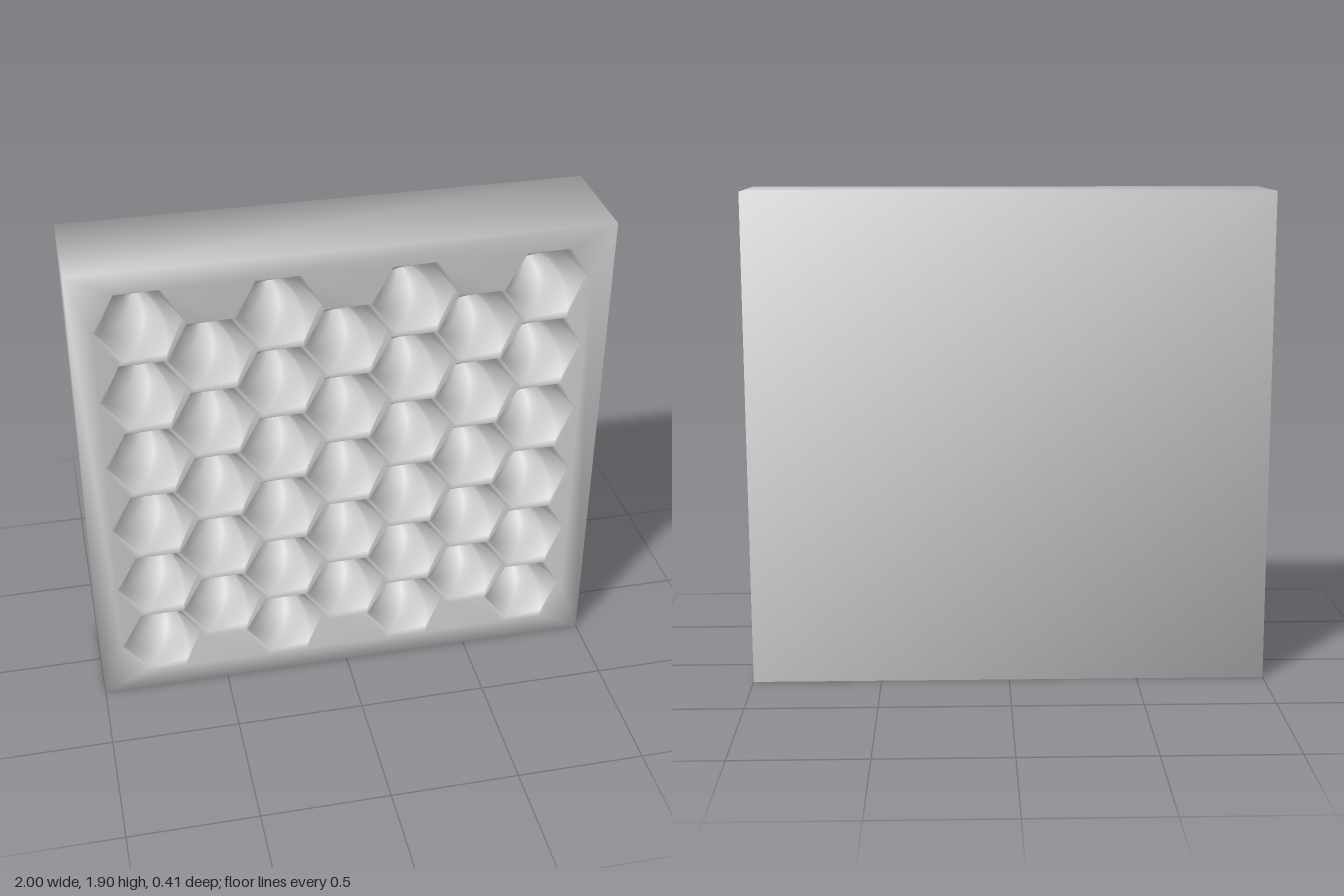
import * as THREE from 'three';
import { mergeGeometries, mergeVertices } from 'three/addons/utils/BufferGeometryUtils.js';

const W = 2, H = 1.9, D = 0.414;        // panel size
const R = 1 / 6, CELL_H = R * Math.sqrt(3); // hexagon corner radius and height
const COLS = 7, ROWS = 6;
const DEPTH = 0.3, TWIST = 1.7, RINGS = 14;

const columnX = i => (i - (COLS - 1) / 2) * 1.5 * R;
const rowsIn = i => (i % 2 ? ROWS - 1 : ROWS);
const rowY = (i, j) => ((rowsIn(i) - 1) / 2 - j) * CELL_H;

// Box with its front face left out
function shellGeometry() {
  const g = new THREE.BoxGeometry(W, H, D);
  const idx = Array.from(g.index.array);
  idx.splice(24, 6);
  g.setIndex(idx);
  return g;
}

// Front frame: rectangle with one zigzag opening around all the cells
function frameGeometry() {
  const half = [];
  for (let i = 0; i < COLS; i++) {
    const top = rowY(i, 0) + CELL_H / 2;
    half.push([columnX(i) - R / 2, top], [columnX(i) + R / 2, top]);
  }
  const last = COLS - 1;
  for (let j = 0; j < ROWS; j++) {
    half.push([columnX(last) + R, rowY(last, j)]);
    if (j < ROWS - 1) half.push([columnX(last) + R / 2, rowY(last, j) - CELL_H / 2]);
  }
  // The opening is the same when turned half a circle
  const outline = [...half, ...half.map(([x, y]) => [-x, -y])];
  const shape = new THREE.Shape([[-1, -1], [1, -1], [1, 1], [-1, 1]]
    .map(([x, y]) => new THREE.Vector2(x * W / 2, y * H / 2)));
  shape.holes.push(new THREE.Path(outline.map(([x, y]) => new THREE.Vector2(x, y))));
  return new THREE.ShapeGeometry(shape).translate(0, 0, D / 2);
}

// Hexagonal funnel that turns as it narrows towards its bottom
function cellGeometry() {
  const pos = [], idx = [];
  for (let k = 0; k <= RINGS; k++) {
    const t = k / RINGS * 0.9;
    for (let s = 0; s < 6; s++) {
      const a = s * Math.PI / 3 + TWIST * t;
      pos.push(R * (1 - t) * Math.cos(a), R * (1 - t) * Math.sin(a), D / 2 - DEPTH * t / 0.9);
    }
  }
  pos.push(0, 0, D / 2 - DEPTH);
  const centre = (RINGS + 1) * 6;
  for (let s = 0; s < 6; s++) {
    const n = (s + 1) % 6;
    for (let k = 0; k < RINGS; k++) {
      const a = k * 6 + s, b = k * 6 + n;
      idx.push(a, b, b + 6, a, b + 6, a + 6);
    }
    idx.push(RINGS * 6 + s, RINGS * 6 + n, centre);
  }
  const g = new THREE.BufferGeometry();
  g.setAttribute('position', new THREE.Float32BufferAttribute(pos, 3));
  g.setIndex(idx);
  return g;
}

export function createModel() {
  const cell = cellGeometry();
  const parts = [shellGeometry(), frameGeometry()];
  for (let i = 0; i < COLS; i++)
    for (let j = 0; j < rowsIn(i); j++)
      parts.push(cell.clone().translate(columnX(i), rowY(i, j), 0));
  for (const p of parts) {
    p.deleteAttribute('normal');
    p.deleteAttribute('uv');
  }
  const bodyCount = parts[0].index.count + parts[1].index.count;

  // Weld everything so the shading runs smoothly across all parts
  const all = mergeVertices(mergeGeometries(parts), 1e-4);
  all.translate(0, H / 2, 0);
  all.computeVertexNormals();

  const group = new THREE.Group();
  group.name = 'honeycombPanel';
  const material = new THREE.MeshStandardMaterial({ color: 0xcccccc });
  const addPart = (name, start, end) => {
    const g = new THREE.BufferGeometry();
    g.setAttribute('position', all.attributes.position);
    g.setAttribute('normal', all.attributes.normal);
    g.setIndex(Array.from(all.index.array.slice(start, end)));
    const mesh = new THREE.Mesh(g, material);
    mesh.name = name;
    group.add(mesh);
  };
  addPart('body', 0, bodyCount);
  // One mesh for each cell
  const per = cell.index.count;
  for (let n = 0; n < parts.length - 2; n++)
    addPart('cell' + (n + 1), bodyCount + n * per, bodyCount + (n + 1) * per);
  return group;
}
